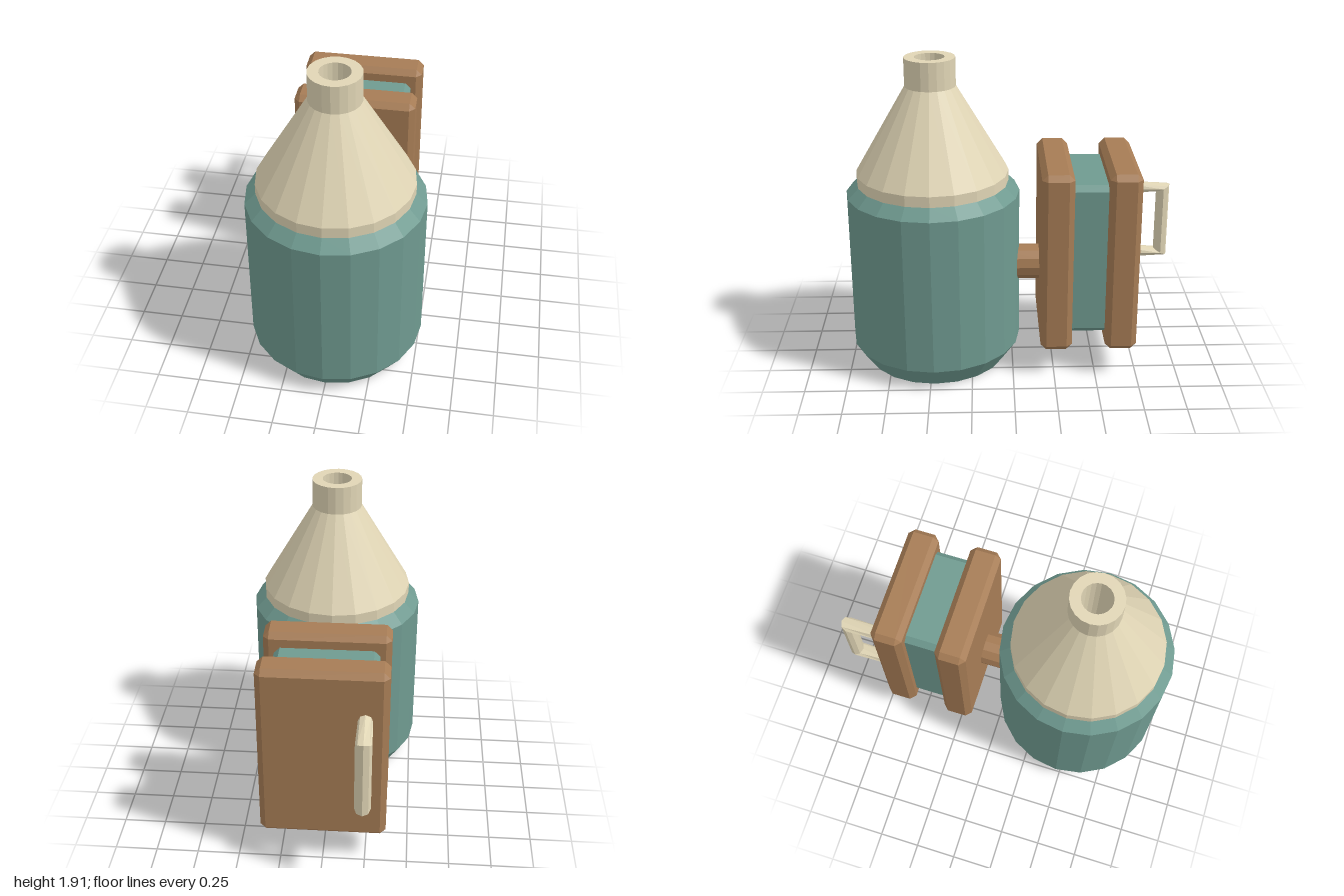
import * as THREE from 'three';
import { ConvexGeometry } from 'three/addons/geometries/ConvexGeometry.js';

const material = (color) => new THREE.MeshStandardMaterial({ color, flatShading: true });

// Box with every edge cut by a flat chamfer
function chamferBox(w, h, d, c) {
  const points = [];
  for (const x of [-1, 1]) for (const y of [-1, 1]) for (const z of [-1, 1]) {
    for (let face = 0; face < 3; face++) {
      const half = [w / 2, h / 2, d / 2].map((s, i) => (i === face ? s : s - c));
      points.push(new THREE.Vector3(x * half[0], y * half[1], z * half[2]));
    }
  }
  return new ConvexGeometry(points);
}

function lathe(profile, sides) {
  return new THREE.LatheGeometry(profile.map(([r, y]) => new THREE.Vector2(r, y)), sides);
}

// Tube lofted through rings [y, z, radius, direction y, direction z]
function loft(rings, sides) {
  const positions = [];
  const indices = [];
  rings.forEach(([y, z, r, dy, dz], i) => {
    for (let j = 0; j < sides; j++) {
      const a = (j / sides) * Math.PI * 2;
      const c = Math.cos(a) * r;
      positions.push(Math.sin(a) * r, y + c * dy, z + c * dz);
      if (i < rings.length - 1) {
        const p = i * sides + j;
        const q = i * sides + ((j + 1) % sides);
        indices.push(p, q, q + sides, p, q + sides, p + sides);
      }
    }
  });
  const geometry = new THREE.BufferGeometry();
  geometry.setAttribute('position', new THREE.Float32BufferAttribute(positions, 3));
  geometry.setIndex(indices);
  geometry.computeVertexNormals();
  return geometry;
}

export function createModel() {
  const model = new THREE.Group();
  const teal = material(0x6f9a90);
  const brown = material(0xa67c55);
  const cream = material(0xe0d5b5);

  const add = (name, geometry, mat, x, y, z) => {
    const mesh = new THREE.Mesh(geometry, mat);
    mesh.name = name;
    mesh.position.set(x, y, z);
    model.add(mesh);
    return mesh;
  };

  // Tank with sloped foot and shoulder
  const tank = [[0, 0], [0.43, 0], [0.52, 0.13], [0.52, 1.09], [0.455, 1.155], [0, 1.155]];
  add('tank', lathe(tank, 20), teal, 0, 0, 0.475);

  // Funnel top with an open neck
  const funnel = [[0.455, 1.15], [0.455, 1.22], [0.15, 1.74], [0.15, 1.91], [0.088, 1.91], [0.088, 1.15]];
  add('funnel', lathe(funnel, 20), cream, 0, 0, 0.475);

  // Short pipe joining the tank to the plates
  const pipe = new THREE.CylinderGeometry(0.108, 0.108, 0.26, 12);
  pipe.rotateX(Math.PI / 2);
  add('connectingPipe', pipe, brown, 0, 0.612, -0.06);

  // Two plates with a block between them
  const plate = chamferBox(0.74, 1.125, 0.19, 0.034);
  add('innerPlate', plate, brown, 0, 0.738, -0.26);
  add('outerPlate', plate, brown, 0, 0.738, -0.65);
  add('middleBlock', chamferBox(0.61, 0.95, 0.28, 0.034), teal, 0, 0.74, -0.455);

  // Handle: two arms and an upright grip, mitred at the corners
  const rings = [
    [1.005, -0.74, 0.042, 1, 0],
    [1.003, -0.957, 0.047, 0.47, -0.88],
    [0.567, -0.957, 0.047, -0.47, -0.88],
    [0.567, -0.74, 0.042, -1, 0],
  ];
  add('handle', loft(rings, 8), cream, -0.24, 0, 0);

  return model;
}
